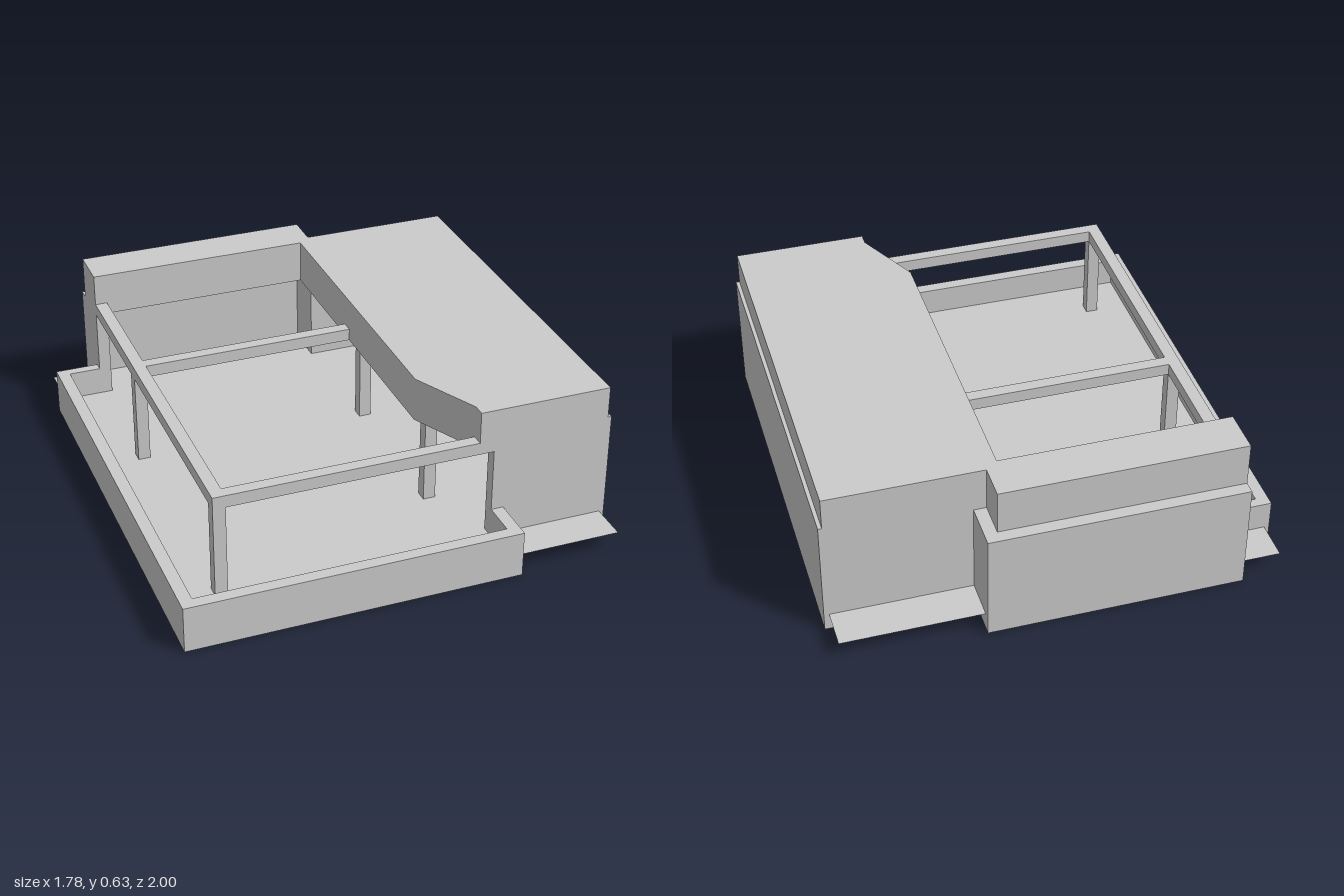
import * as THREE from 'three';

export function createModel() {
  const model = new THREE.Group();
  const mat = new THREE.MeshStandardMaterial({ color: 0xcccccc, flatShading: true, side: THREE.DoubleSide });

  const add = (name, geometry) => {
    const mesh = new THREE.Mesh(geometry, mat);
    mesh.name = name;
    model.add(mesh);
    return mesh;
  };
  // Box given by its limits
  const box = (name, x0, x1, y0, y1, z0, z1) =>
    add(name, new THREE.BoxGeometry(x1 - x0, y1 - y0, z1 - z0)
      .translate((x0 + x1) / 2, (y0 + y1) / 2, (z0 + z1) / 2));
  // Plan outline of [x, z] points raised from y0 to y1
  const toPoints = (plan) => plan.map(([x, z]) => new THREE.Vector2(x, -z));
  const slab = (name, plan, y0, y1, hole) => {
    const shape = new THREE.Shape(toPoints(plan));
    if (hole) shape.holes.push(new THREE.Path(toPoints(hole)));
    const geo = new THREE.ExtrudeGeometry(shape, { depth: y1 - y0, bevelEnabled: false });
    return add(name, geo.rotateX(-Math.PI / 2).translate(0, y0, 0));
  };

  const floorY = 0.07, wallTop = 0.19, beamY = 0.45, roofY = 0.5, top = 0.63;

  // Base with a shallow recess underneath, closed by the floor sheet
  slab('base', [
    [-0.89, 1], [0.45, 1], [0.45, 0.81], [0.89, 0.81], [0.89, -0.81],
    [0.31, -0.81], [0.31, -1], [-0.71, -1], [-0.71, -0.81], [-0.89, -0.81],
  ], 0, floorY, [[-0.66, 0.76], [0.4, 0.76], [0.26, 0.49], [0.26, -0.19], [-0.66, -0.19]]);
  add('floorSheet', new THREE.PlaneGeometry(1.74, 1.94).rotateX(-Math.PI / 2).translate(0, floorY + 0.002, 0));

  // Low wall around the patio
  box('patioFrontWall', -0.89, 0.45, 0, wallTop, 0.95, 1);
  box('patioLongWall', -0.89, -0.84, 0, wallTop, -0.81, 0.95);
  box('patioBackWall', -0.84, -0.71, 0, wallTop, -0.81, -0.77);
  box('patioEndWall', 0.4, 0.45, 0, wallTop, 0.81, 0.95);

  // Main wing walls, open towards the patio
  box('wingFrontWall', 0.4, 0.89, 0, roofY, 0.76, 0.81);
  box('wingSideWall', 0.84, 0.89, 0, roofY, -0.81, 0.81);
  box('wingBackWall', 0.26, 0.89, 0, roofY, -0.81, -0.77);

  // Rear bay walls
  box('bayBackWall', -0.71, 0.31, 0, beamY, -1, -0.95);
  box('bayLeftEnd', -0.71, -0.66, 0, beamY, -0.95, -0.77);
  box('bayRightEnd', 0.26, 0.31, 0, beamY, -0.95, -0.81);

  // Roof: narrow rear part and main wing with a slanted corner
  const roofPlan = (right) => [
    [-0.71, -0.95], [0.26, -0.95], [0.26, -0.81], [right, -0.81], [right, 0.81],
    [0.34, 0.81], [0.34, 0.76], [0.21, 0.49], [0.21, -0.77], [-0.71, -0.77],
  ];
  slab('ceiling', roofPlan(0.89), beamY, roofY);
  slab('roof', roofPlan(0.875), roofY, top);

  // Pergola beams
  box('sideBeam', -0.71, -0.66, beamY, roofY, -0.77, 0.81);
  box('frontBeam', -0.66, 0.4, beamY, roofY, 0.76, 0.81);
  box('crossBeam', -0.66, 0.26, beamY, roofY, -0.24, -0.19);

  // Posts on both sides of the patio
  for (const [x, z] of [[-0.71, 0.76], [-0.71, -0.24], [0.26, -0.24], [0.26, 0.44]])
    box('post', x, x + 0.05, floorY, beamY, z, z + 0.05);

  return model;
}
